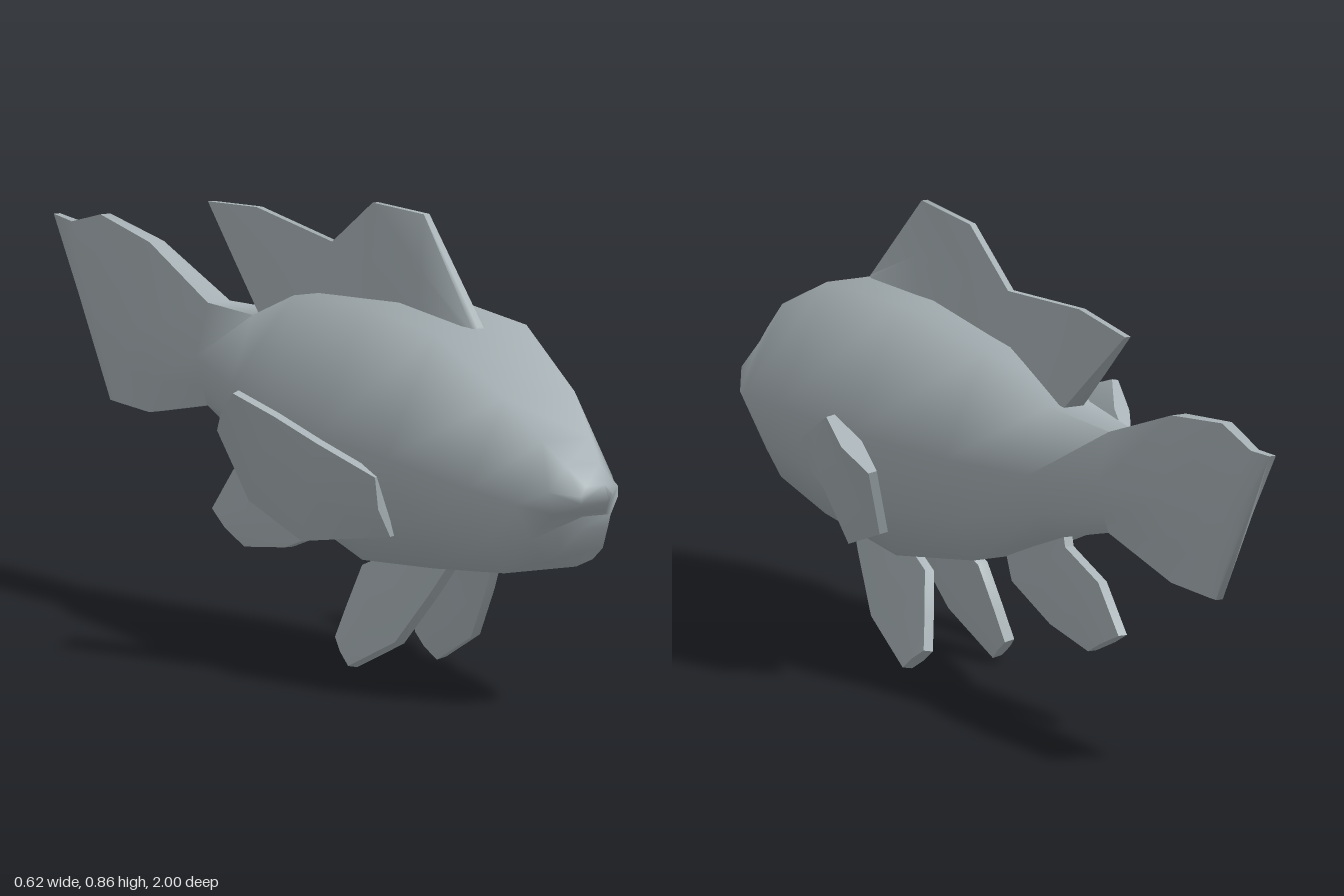
import * as THREE from 'three';
import { mergeGeometries, toCreasedNormals } from 'three/addons/utils/BufferGeometryUtils.js';

// Skin over closed rings of [x, y, z] points, with optional end caps
function loft(rings, capStart = true, capEnd = true) {
  const n = rings[0].length;
  const pos = rings.flat(2);
  let index = [];
  for (let r = 0; r < rings.length - 1; r++) {
    for (let i = 0; i < n; i++) {
      const a = r * n + i, b = r * n + (i + 1) % n;
      index.push(a, b, a + n, b, b + n, a + n);
    }
  }
  const last = (rings.length - 1) * n;
  for (let i = 1; i < n - 1; i++) {
    if (capStart) index.push(0, i + 1, i);
    if (capEnd) index.push(last, last + i, last + i + 1);
  }
  // Turn the faces outward when they wind the wrong way
  const pts = rings.flat().map((p) => new THREE.Vector3(...p));
  const centre = pts.reduce((s, p) => s.add(p), new THREE.Vector3()).divideScalar(pts.length);
  pts.forEach((p) => p.sub(centre));
  let volume = 0;
  for (let i = 0; i < index.length; i += 3) {
    volume += pts[index[i]].dot(pts[index[i + 1]].clone().cross(pts[index[i + 2]]));
  }
  if (volume < 0) index.reverse();
  const geo = new THREE.BufferGeometry();
  geo.setAttribute('position', new THREE.Float32BufferAttribute(pos, 3));
  geo.setIndex(index);
  return geo;
}

// Ring from one side's points, mirrored across x = 0
const mirrorRing = (half) => [...half, ...half.slice().reverse().map(([x, y, z]) => [-x, y, z])];

// Body section: top, flank, lower flank and belly points
function section([zTop, yTop, yMid, zLow, yLow, w]) {
  const zMid = (zTop + zLow) / 2, t = 0.6;
  const mix = (a, b) => a + (b - a) * t;
  return [
    [w * 0.48, yTop, zTop],
    [w, yMid, zMid],
    [mix(w, w * 0.5), mix(yMid, yLow), mix(zMid, zLow)],
    [w * 0.5, yLow, zLow],
  ];
}

function bodyGeometry() {
  // zTop, yTop, yMid, zLow, yLow, half width
  const rows = [
    [0.89, 0.515, 0.40, 0.89, 0.285, 0.11],
    [0.79, 0.585, 0.42, 0.79, 0.255, 0.155],
    [0.57, 0.677, 0.45, 0.57, 0.235, 0.205],
    [0.30, 0.690, 0.455, 0.30, 0.212, 0.195],
    [0.00, 0.665, 0.46, 0.04, 0.255, 0.148],
    [-0.20, 0.597, 0.47, -0.20, 0.345, 0.09],
    [-0.40, 0.590, 0.49, -0.40, 0.397, 0.05],
    [-0.63, 0.670, 0.51, -0.63, 0.350, 0.032],
    [-0.82, 0.695, 0.53, -0.73, 0.350, 0.022],
    [-0.93, 0.666, 0.535, -0.77, 0.350, 0.018],
    [-1.00, 0.670, 0.535, -0.79, 0.350, 0.014],
  ];
  const halves = rows.map(section);
  const trunk = loft(halves.map(mirrorRing), false, true);
  // Jaws share the first section and part at the mouth corners
  const [top, flank, corner, belly] = halves[0];
  const upperJaw = loft([
    [top, flank, corner],
    [[0.036, 0.475, 0.95], [0.075, 0.43, 0.95], [0.055, 0.385, 0.94]],
    [[0.02, 0.443, 0.995], [0.034, 0.425, 1.0], [0.03, 0.41, 0.995]],
  ].map(mirrorRing), false, true);
  const lowerJaw = loft([
    [corner, belly],
    [[0.055, 0.362, 0.95], [0.045, 0.315, 0.945]],
    [[0.03, 0.388, 1.0], [0.028, 0.362, 0.99]],
  ].map(mirrorRing), false, true);
  return toCreasedNormals(mergeGeometries([trunk, upperJaw, lowerJaw]), 1.3);
}

// Fin from stations of [edge point, edge point], thickened along a normal
function finGeometry(stations, normal, [tA, tMid, tB], side = 1) {
  const rings = stations.map(([a, b]) => {
    const mid = a.map((v, i) => (v + b[i]) / 2);
    const move = (p, t) => p.map((v, i) => (v + normal[i] * t) * (i === 0 ? side : 1));
    return [move(a, tA), move(mid, tMid), move(b, tB), move(b, -tB), move(mid, -tMid), move(a, -tA)];
  });
  return toCreasedNormals(loft(rings), 0.9);
}

export function createModel() {
  const group = new THREE.Group();
  const skin = new THREE.MeshStandardMaterial({ color: 0xa9b3b7 });
  skin.name = 'greyBlueSkin';
  const add = (name, geo) => {
    const mesh = new THREE.Mesh(geo, skin);
    mesh.name = name;
    group.add(mesh);
  };

  add('body', bodyGeometry());

  // Middle fins lie in the x = 0 plane, given as [z, y]
  const flat = (rows) => rows.map((row) => row.map(([z, y]) => [0, y, z]));
  add('dorsalFin', finGeometry(flat([
    [[0.57, 0.66], [0.57, 0.68]],
    [[0.37, 0.66], [0.37, 0.865]],
    [[0.18, 0.65], [0.18, 0.86]],
    [[0.03, 0.64], [0.03, 0.765]],
    [[-0.14, 0.59], [-0.25, 0.79]],
    [[-0.21, 0.59], [-0.43, 0.775]],
  ]), [1, 0, 0], [0.021, 0.014, 0.006]));
  add('analFin', finGeometry(flat([
    [[0.04, 0.28], [-0.19, 0.36]],
    [[0.01, 0.215], [-0.20, 0.325]],
    [[-0.14, 0.165], [-0.33, 0.285]],
    [[-0.29, 0.145], [-0.41, 0.20]],
  ]), [1, 0, 0], [0.009, 0.016, 0.009]));

  // Paired fins, mirrored left and right
  const pelvic = [
    [[0.56, 0.245], [0.36, 0.235]],
    [[0.50, 0.17], [0.245, 0.19]],
    [[0.41, 0.07], [0.215, 0.11]],
    [[0.26, 0.005], [0.195, 0.05]],
  ].map((row) => row.map(([z, y]) => [0.05 + (0.22 - y) * 0.21, y, z]));
  const pectoral = [
    [[0.12, 0.40, 0.48], [0.09, 0.29, 0.46]],
    [[0.18, 0.405, 0.50], [0.13, 0.285, 0.47]],
    [[0.23, 0.455, 0.37], [0.205, 0.255, 0.27]],
    [[0.265, 0.495, 0.27], [0.225, 0.31, 0.11]],
    [[0.30, 0.528, 0.18], [0.27, 0.44, 0.07]],
  ];
  for (const [label, side] of [['left', 1], ['right', -1]]) {
    add(label + 'PelvicFin', finGeometry(pelvic, [0.98, 0.2, 0], [0.01, 0.014, 0.01], side));
    add(label + 'PectoralFin', finGeometry(pectoral, [0.94, -0.25, 0.26], [0.008, 0.02, 0.008], side));
  }
  return group;
}
